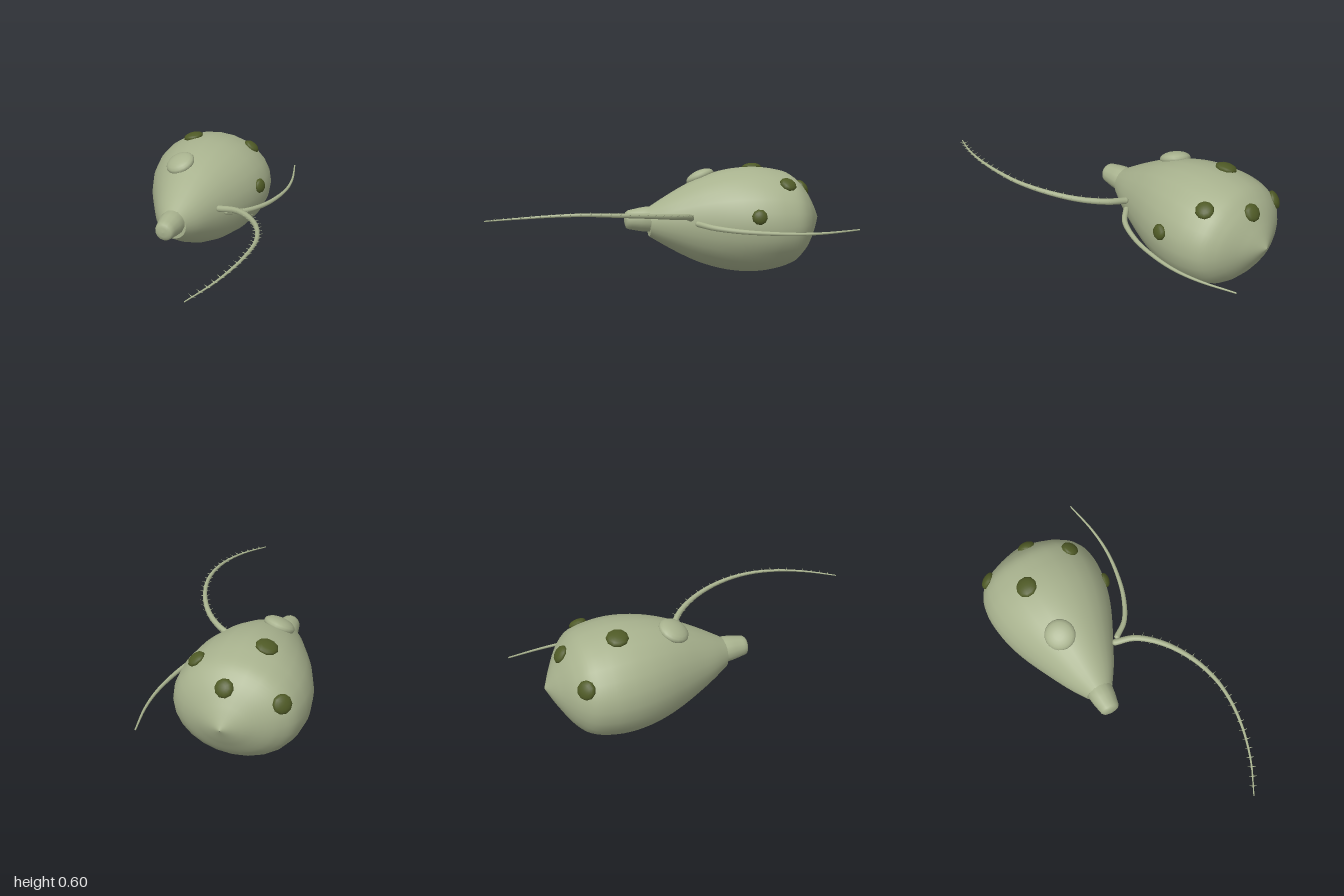
import * as THREE from 'three';
import { mergeGeometries } from 'three/addons/utils/BufferGeometryUtils.js';
import { ParametricGeometry } from 'three/addons/geometries/ParametricGeometry.js';

const CX = -0.13, CY = 0.3;
const V = (x, y, z) => new THREE.Vector3(x, y, z);

// Body stations from tail tip to neck: half width, half height, z
const stations = new THREE.CatmullRomCurve3([
  [0.001, 0.001, -0.89], [0.13, 0.105, -0.835], [0.26, 0.205, -0.765], [0.317, 0.258, -0.7],
  [0.34, 0.285, -0.6], [0.337, 0.295, -0.5], [0.316, 0.29, -0.4], [0.281, 0.272, -0.3],
  [0.236, 0.24, -0.2], [0.187, 0.193, -0.1], [0.135, 0.137, 0], [0.078, 0.082, 0.09],
].map(p => V(...p)));

function bodyPoint(angle, t, target = V()) {
  const s = stations.getPoint(t);
  return target.set(CX + s.x * Math.cos(angle), CY + s.y * Math.sin(angle), s.z);
}

// Curve parameter for a given z, by bisection
function paramAtZ(z) {
  let lo = 0, hi = 1;
  for (let i = 0; i < 30; i++) {
    const mid = (lo + hi) / 2;
    if (stations.getPoint(mid).z < z) lo = mid; else hi = mid;
  }
  return lo;
}

// Tube that narrows from r0 at the root to r1 at the tip, with a rounded root
function taperedTube(curve, r0, r1, segments = 48, sides = 10) {
  const geo = new THREE.TubeGeometry(curve, segments, 1, sides);
  const pos = geo.attributes.position, p = V();
  for (let i = 0; i < pos.count; i++) {
    const t = Math.floor(i / (sides + 1)) / segments;
    const centre = curve.getPointAt(t);
    p.fromBufferAttribute(pos, i).sub(centre).multiplyScalar(r0 + (r1 - r0) * t).add(centre);
    pos.setXYZ(i, p.x, p.y, p.z);
  }
  const cap = new THREE.SphereGeometry(r0, sides, 8);
  cap.translate(...curve.getPointAt(0).toArray());
  return mergeGeometries([geo, cap]);
}

export function createModel() {
  const group = new THREE.Group();
  const skin = new THREE.MeshStandardMaterial({ color: 0xa8b28e });
  skin.name = 'sage skin';
  const olive = new THREE.MeshStandardMaterial({ color: 0x4f5a26 });
  olive.name = 'olive spots';

  const add = (name, geo, mat = skin, parent = group) => {
    const mesh = new THREE.Mesh(geo, mat);
    mesh.name = name;
    parent.add(mesh);
    return mesh;
  };

  // Egg-shaped body with a closed front end
  add('body', new ParametricGeometry((u, v, p) => bodyPoint(u * Math.PI * 2, v, p), 24, 44));
  const neckCap = add('neckCap', new THREE.CircleGeometry(1, 24));
  neckCap.scale.set(0.078, 0.082, 1);
  neckCap.position.set(CX, CY, 0.09);

  // Blunt snout
  const snoutProfile = [[0.068, 0], [0.071, 0.06], [0.066, 0.1], [0.056, 0.15], [0.052, 0.168],
    [0.043, 0.178], [0.025, 0.184], [0, 0.186]].map(([r, y]) => new THREE.Vector2(r, y));
  const snout = add('snout', new THREE.LatheGeometry(snoutProfile, 14));
  snout.rotation.x = Math.PI / 2;
  snout.position.set(CX, 0.315, 0.042);

  // Flattened domes lying on the body surface
  function dome(name, z, angle, radius, height, mat, segments) {
    const t = paramAtZ(z), e = 0.005;
    const around = bodyPoint(angle + e, t).sub(bodyPoint(angle - e, t));
    const along = bodyPoint(angle, t + e).sub(bodyPoint(angle, t - e));
    const mesh = add(name, new THREE.SphereGeometry(1, segments, 10), mat);
    mesh.position.copy(bodyPoint(angle, t));
    mesh.scale.set(radius, height, radius);
    mesh.quaternion.setFromUnitVectors(V(0, 1, 0), around.cross(along).normalize());
    return mesh;
  }
  dome('eye', -0.215, 1.87, 0.083, 0.038, skin, 20);
  const bump = dome('eyeBump', -0.25, 1.8, 0.03, 0.024, skin, 12);
  bump.position.y += 0.008;
  [[-0.525, 1.9, 0.058], [-0.79, 1.52, 0.048], [-0.645, 0.894, 0.048],
    [-0.735, 2.65, 0.05], [-0.455, 0.2, 0.042]]
    .forEach(([z, a, r]) => dome('spot', z, a, r, 0.025, olive, 10));

  // Front tentacle with spines along both sides
  const spinyPath = new THREE.CatmullRomCurve3([
    V(0.07, 0.345, -0.105), V(0.17, 0.367, -0.07), V(0.28, 0.388, 0.03), V(0.37, 0.41, 0.18),
    V(0.422, 0.426, 0.35), V(0.43, 0.434, 0.5), V(0.41, 0.43, 0.66), V(0.36, 0.415, 0.83),
    V(0.285, 0.395, 0.99)]);
  add('spinyTentacle', taperedTube(spinyPath, 0.018, 0.003));
  const spines = [];
  const count = 24;
  for (let i = 0; i < count; i++) {
    const t = 0.08 + 0.88 * i / (count - 1);
    const tangent = spinyPath.getTangentAt(t);
    const side = tangent.clone().cross(V(0, 1, 0)).normalize();
    for (const s of [-1, 1]) {
      const dir = side.clone().multiplyScalar(s).add(V(0, 0.35, 0)).normalize();
      const length = 0.036 - 0.012 * t;
      const spine = new THREE.ConeGeometry(0.004, length, 5);
      spine.translate(0, length / 2, 0);
      spine.applyQuaternion(new THREE.Quaternion().setFromUnitVectors(V(0, 1, 0), dir));
      spine.translate(...spinyPath.getPointAt(t).toArray());
      spines.push(spine);
    }
  }
  add('spines', mergeGeometries(spines));

  // Smooth tentacle sweeping backwards
  const smoothPath = new THREE.CatmullRomCurve3([
    V(0.1, 0.316, -0.14), V(0.18, 0.306, -0.205), V(0.25, 0.293, -0.34), V(0.29, 0.284, -0.5),
    V(0.305, 0.279, -0.65), V(0.295, 0.279, -0.8), V(0.255, 0.284, -0.995)]);
  add('smoothTentacle', taperedTube(smoothPath, 0.016, 0.004));

  return group;
}
